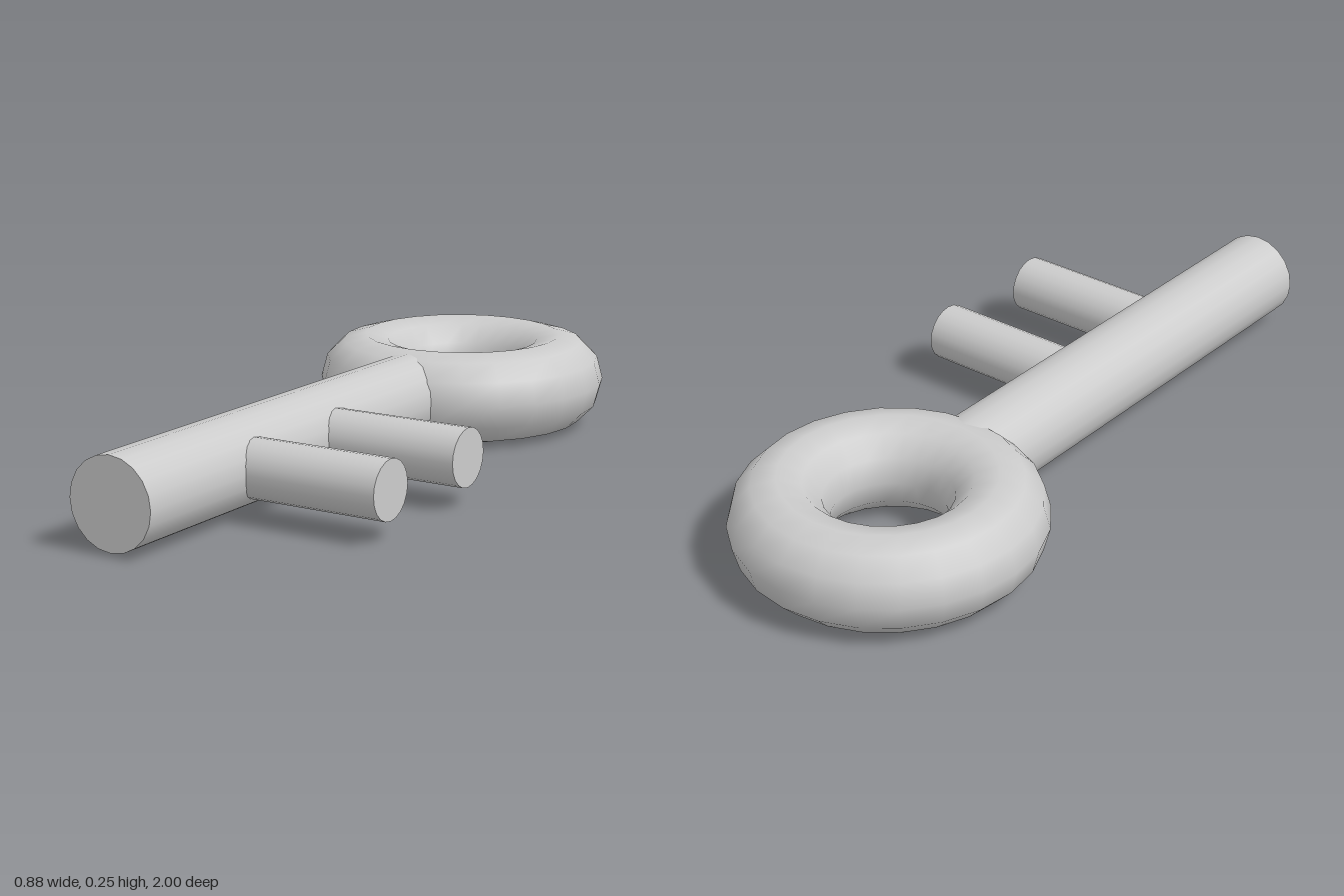
import * as THREE from 'three';

export function createModel() {
  const model = new THREE.Group();
  const material = new THREE.MeshStandardMaterial({ color: 0xcccccc });
  const midY = 0.126;
  const shaftX = -0.038;

  function add(name, geometry, x, y, z) {
    const mesh = new THREE.Mesh(geometry, material);
    mesh.name = name;
    mesh.position.set(x, y, z);
    model.add(mesh);
    return mesh;
  }

  // Ring handle lying flat
  const ring = new THREE.TorusGeometry(0.271, 0.125, 12, 24).rotateX(Math.PI / 2);
  add('ringHandle', ring, -0.043, 0.125, -0.606);

  // Shaft running forward from inside the ring
  const back = -0.34, front = 1;
  const shaft = new THREE.CylinderGeometry(0.117, 0.117, front - back, 20).rotateX(Math.PI / 2);
  add('shaft', shaft, shaftX, midY, (front + back) / 2);

  // Two round teeth on the left side, rooted in the shaft
  const tip = 0.437;
  for (const [name, z] of [['rearTooth', 0.19], ['frontTooth', 0.55]]) {
    const tooth = new THREE.CylinderGeometry(0.076, 0.076, tip - shaftX, 20).rotateZ(-Math.PI / 2);
    add(name, tooth, (tip + shaftX) / 2, midY, z);
  }

  return model;
}
